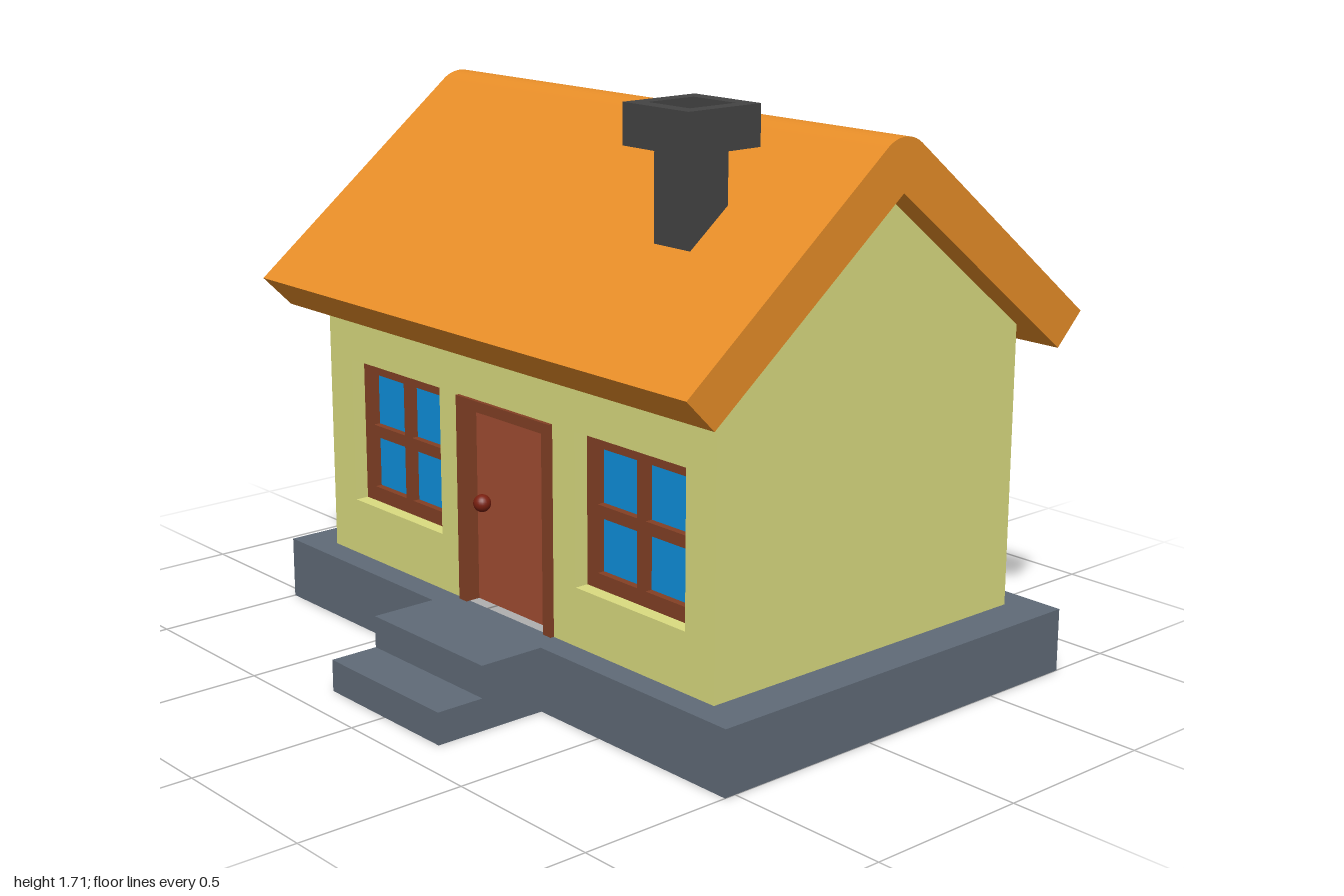
import * as THREE from 'three';

const mat = (color) => new THREE.MeshStandardMaterial({ color, side: THREE.DoubleSide, flatShading: true });
const M = {
  stone: mat(0x606b78), wall: mat(0xdbdc80), roof: mat(0xe88e28), frame: mat(0x834025),
  door: mat(0xa24d32), glass: mat(0x0e90dd), knob: mat(0x7a2010), chimney: mat(0x444444),
};

const toPath = (pts, Type = THREE.Shape) => new Type(pts.map(([x, y]) => new THREE.Vector2(x, y)));
const rect = (x0, x1, y0, y1) => [[x0, y0], [x1, y0], [x1, y1], [x0, y1]];

function shapeOf(pts, holes = []) {
  const s = toPath(pts);
  s.holes = holes.map((h) => toPath(h, THREE.Path));
  return s;
}

function add(parent, name, geo, material) {
  const mesh = new THREE.Mesh(geo, material);
  mesh.name = name;
  parent.add(mesh);
  return mesh;
}

// Thin sheets: facing z (x, y), facing x (z, y) and level (x, z)
const sheetZ = (z, pts, holes) => new THREE.ShapeGeometry(shapeOf(pts, holes)).translate(0, 0, z);
const sheetX = (x, pts) => new THREE.ShapeGeometry(shapeOf(pts)).rotateY(-Math.PI / 2).translate(x, 0, 0);
const sheetY = (y, pts, holes) => new THREE.ShapeGeometry(shapeOf(pts, holes)).rotateX(Math.PI / 2).translate(0, y, 0);

const slab = (shape, z0, z1) =>
  new THREE.ExtrudeGeometry(shape, { depth: z1 - z0, bevelEnabled: false }).translate(0, 0, z0);

const box = (x0, x1, y0, y1, z0, z1) =>
  new THREE.BoxGeometry(x1 - x0, y1 - y0, z1 - z0).translate((x0 + x1) / 2, (y0 + y1) / 2, (z0 + z1) / 2);

// Box without its front and back faces
function sleeve(...b) {
  const g = box(...b);
  g.setIndex(Array.from(g.index.array).slice(0, 24));
  g.clearGroups();
  return g;
}

const FLOOR = 0.19, WX = 0.87, BACK = -0.705, FRONT = 0.455, RIDGE = -0.125;

function buildBase(g) {
  const back = -0.795, front = 0.535, sx = 0.253, s1 = 0.74, s2 = 0.89, mid = 0.095;
  // Hollow plinth, open below and under the house
  add(g, 'baseTop', sheetY(FLOOR, [
    [-1, back], [1, back], [1, front], [sx, front], [sx, s1], [-sx, s1], [-sx, front], [-1, front],
  ], [rect(-WX, WX, BACK, FRONT)]), M.stone);
  add(g, 'baseBack', sheetZ(back, rect(-1, 1, 0, FLOOR)), M.stone);
  for (const s of [-1, 1]) {
    add(g, 'baseSide', sheetX(s, rect(back, front, 0, FLOOR)), M.stone);
    add(g, 'baseFront', sheetZ(front, s < 0 ? rect(-1, -sx, 0, FLOOR) : rect(sx, 1, 0, FLOOR)), M.stone);
    add(g, 'stepSide', sheetX(s * sx, [
      [front, 0], [s2, 0], [s2, mid], [s1, mid], [s1, FLOOR], [front, FLOOR],
    ]), M.stone);
  }
  add(g, 'stepTread', sheetY(mid, rect(-sx, sx, s1, s2)), M.stone);
  add(g, 'upperRiser', sheetZ(s1, rect(-sx, sx, mid, FLOOR)), M.stone);
  add(g, 'lowerRiser', sheetZ(s2, rect(-sx, sx, 0, mid)), M.stone);
}

const DOOR = { x: 0.2125, ix: 0.178, top: 0.81, itop: 0.778 };
const WIN = { x0: 0.307, x1: 0.757, y0: 0.363, y1: 0.81 };
const winRect = (s) => (s < 0 ? rect(-WIN.x1, -WIN.x0, WIN.y0, WIN.y1) : rect(WIN.x0, WIN.x1, WIN.y0, WIN.y1));

function buildWalls(g) {
  const eave = 1.031, peak = 1.482;
  // Door opening is part of the outline
  add(g, 'frontWall', sheetZ(FRONT, [
    [-WX, FLOOR], [-DOOR.x, FLOOR], [-DOOR.x, DOOR.top], [DOOR.x, DOOR.top],
    [DOOR.x, FLOOR], [WX, FLOOR], [WX, eave], [-WX, eave],
  ], [winRect(-1), winRect(1)]), M.wall);
  add(g, 'backWall', sheetZ(BACK, rect(-WX, WX, FLOOR, eave)), M.wall);
  for (const s of [-1, 1]) {
    add(g, 'gableWall', sheetX(s * WX, [
      [BACK, FLOOR], [FRONT, FLOOR], [FRONT, eave], [RIDGE, peak], [BACK, eave],
    ]), M.wall);
  }
}

function buildRoof(g) {
  // Chevron section with a rounded ridge, run along x
  const r = 0.106, a = 0.67, cy = 1.63 - r;
  const s = new THREE.Shape();
  s.moveTo(0.665, 0.963);
  s.lineTo(0.76, 1.057);
  s.absarc(0, cy, r, Math.PI / 2 - a, Math.PI / 2 + a, false);
  s.lineTo(-0.76, 1.057);
  s.lineTo(-0.665, 0.963);
  s.lineTo(0, 1.482);
  const geo = new THREE.ExtrudeGeometry(s, { depth: 1.906, bevelEnabled: false, curveSegments: 8 });
  geo.translate(0, 0, -0.953).rotateY(-Math.PI / 2).translate(0, 0, RIDGE);
  add(g, 'roof', geo, M.roof);
}

function buildWindow(g, s) {
  const w = new THREE.Group();
  w.name = 'window';
  const cx = s * (WIN.x0 + WIN.x1) / 2, cy = (WIN.y0 + WIN.y1) / 2;
  const h = (WIN.x1 - WIN.x0) / 2, inner = 0.018, outer = 0.18;
  const holes = [];
  for (const i of [-1, 1]) for (const j of [-1, 1]) {
    const [xa, xb] = [i * inner, i * outer].sort((p, q) => p - q);
    const [ya, yb] = [j * inner, j * outer].sort((p, q) => p - q);
    holes.push(rect(xa, xb, ya, yb));
  }
  add(w, 'windowReveal', sleeve(-h, h, -h, h, 0.385, FRONT), M.wall);
  add(w, 'windowFrame', slab(shapeOf(rect(-h, h, -h, h), holes), 0.38, 0.41), M.frame);
  add(w, 'windowGlass', sheetZ(0.388, rect(-0.19, 0.19, -0.19, 0.19)), M.glass);
  w.position.set(cx, cy, 0);
  g.add(w);
}

function buildDoor(g) {
  const { x, ix, top, itop } = DOOR;
  add(g, 'doorFrame', slab(shapeOf([
    [-x, FLOOR], [-ix, FLOOR], [-ix, itop], [ix, itop], [ix, FLOOR], [x, FLOOR], [x, top], [-x, top],
  ]), 0.335, 0.467), M.frame);
  add(g, 'door', box(-ix, ix, FLOOR, itop, 0.395, 0.42), M.door);
  const knobMat = M.knob.clone();
  knobMat.flatShading = false;
  add(g, 'doorKnob', new THREE.SphereGeometry(0.026, 20, 14).translate(-0.125, 0.5, 0.444), knobMat);
}

function buildChimney(g) {
  const c = new THREE.Group();
  c.name = 'chimney';
  add(c, 'chimneyShaft', box(-0.071, 0.071, 1.25, 1.6, -0.067, 0.067), M.chimney);
  // Square cap with a sunken flue
  const q = 0.128, f = 0.081;
  const cap = slab(shapeOf(rect(-q, q, -q, q), [rect(-f, f, -f, f)]), 0, 0.115);
  add(c, 'chimneyCap', cap.rotateX(-Math.PI / 2).translate(0, 1.59, 0), M.chimney);
  add(c, 'flueFloor', box(-f, f, 1.59, 1.645, -f, f), M.chimney);
  c.position.set(0.519, 0, 0.226);
  g.add(c);
}

export function createModel() {
  const house = new THREE.Group();
  house.name = 'house';
  buildBase(house);
  buildWalls(house);
  buildRoof(house);
  for (const s of [-1, 1]) buildWindow(house, s);
  buildDoor(house);
  buildChimney(house);
  house.position.z = -0.0475 + 0.0475;
  return house;
}
